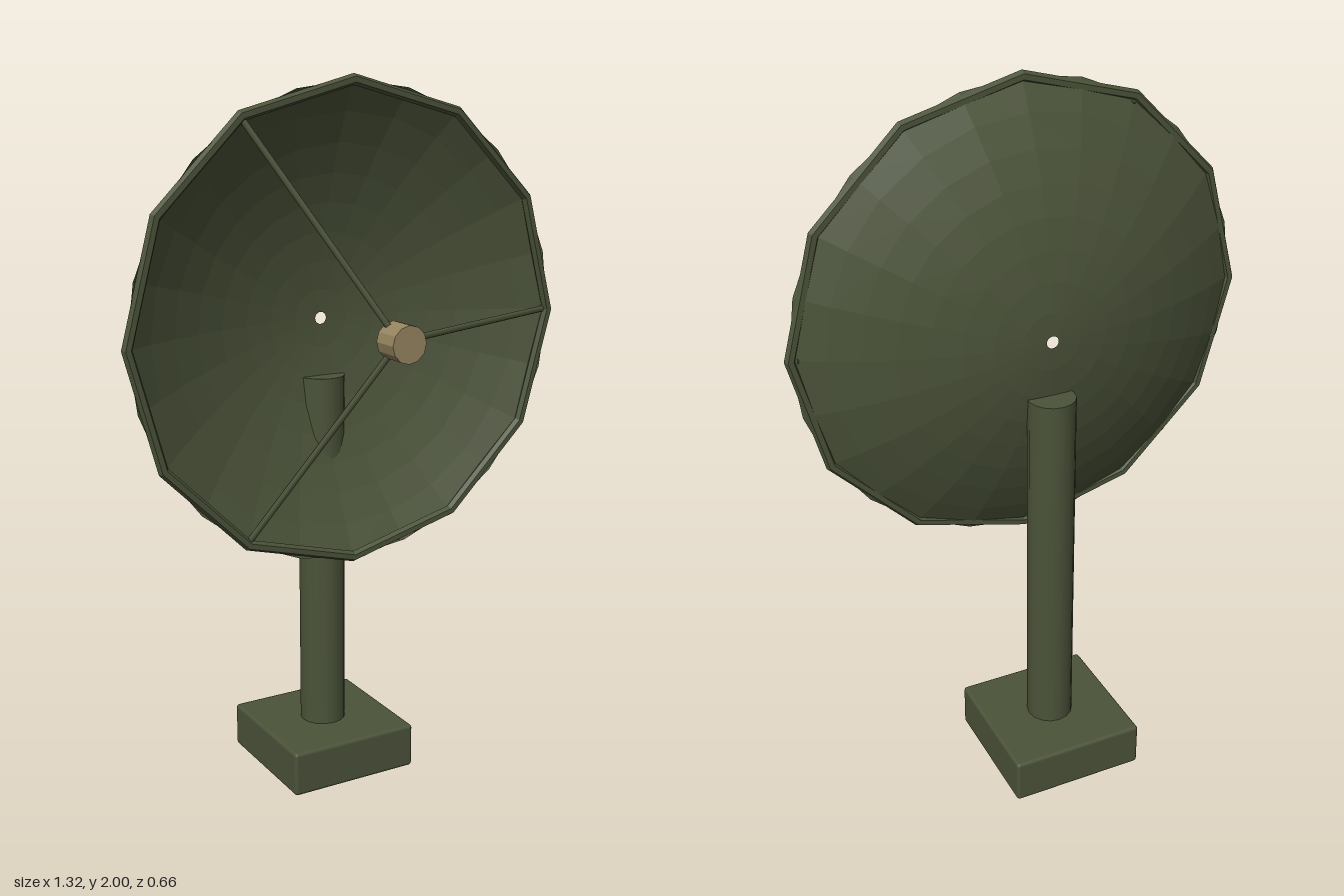
import * as THREE from 'three';
import { RoundedBoxGeometry } from 'three/addons/geometries/RoundedBoxGeometry.js';

const olive = new THREE.MeshStandardMaterial({ name: 'olive', color: 0x4b5339 });
const oliveSheet = olive; // one paint for every metal part
oliveSheet.side = THREE.DoubleSide;
const tan = new THREE.MeshStandardMaterial({ name: 'tan', color: 0x968560 });

const DISH_Y = 1.34, RIM_R = 0.645, RIM_Z = 0.05, DEPTH = 0.185;

// Facet a geometry by giving every triangle its own normal
function faceted(geometry) {
  const g = geometry.toNonIndexed();
  g.computeVertexNormals();
  return g;
}

export function createModel() {
  const model = new THREE.Group();
  model.name = 'dishAntenna';

  function add(name, geometry, material, x, y, z, parent = model) {
    const mesh = new THREE.Mesh(geometry, material);
    mesh.name = name;
    mesh.position.set(x, y, z);
    parent.add(mesh);
    return mesh;
  }

  // Base block and mast
  add('base', new RoundedBoxGeometry(0.39, 0.13, 0.39, 2, 0.01), olive, 0, 0.075, -0.132);
  add('mast', new THREE.CylinderGeometry(0.066, 0.066, 1.18, 16), olive, 0, 0.59, -0.132);

  // Dish assembly, centred on the dish axis
  const dish = new THREE.Group();
  dish.name = 'dishAssembly';
  dish.position.y = DISH_Y;
  model.add(dish);

  // Parabolic reflector with a small hole in the middle
  const profile = [];
  const rings = 8;
  for (let i = 0; i <= rings; i++) {
    const r = Math.max(0.017, (RIM_R * i) / rings);
    profile.push(new THREE.Vector2(r, DEPTH * ((r / RIM_R) ** 2 - 1)));
  }
  const bowl = new THREE.LatheGeometry(profile, 24).rotateX(Math.PI / 2);
  add('reflector', faceted(bowl), oliveSheet, 0, 0, RIM_Z, dish);

  // Twelve-sided rim
  add('rim', faceted(new THREE.TorusGeometry(RIM_R, 0.015, 6, 12)), olive, 0, 0, RIM_Z - 0.002, dish);

  // Feed horn at the focus
  const horn = new THREE.CylinderGeometry(0.05, 0.05, 0.08, 12).rotateX(Math.PI / 2);
  add('feedHorn', faceted(horn), tan, 0, 0, 0.29, dish);

  // Three struts from the rim to the feed horn
  for (let i = 0; i < 3; i++) {
    const a = (i * Math.PI * 2) / 3;
    const at = (r, z) => new THREE.Vector3(r * Math.cos(a), r * Math.sin(a), z);
    const path = new THREE.LineCurve3(at(0.63, 0.045), at(0.03, 0.268));
    add('strut', new THREE.TubeGeometry(path, 1, 0.009, 8), olive, 0, 0, 0, dish);
  }

  return model;
}
